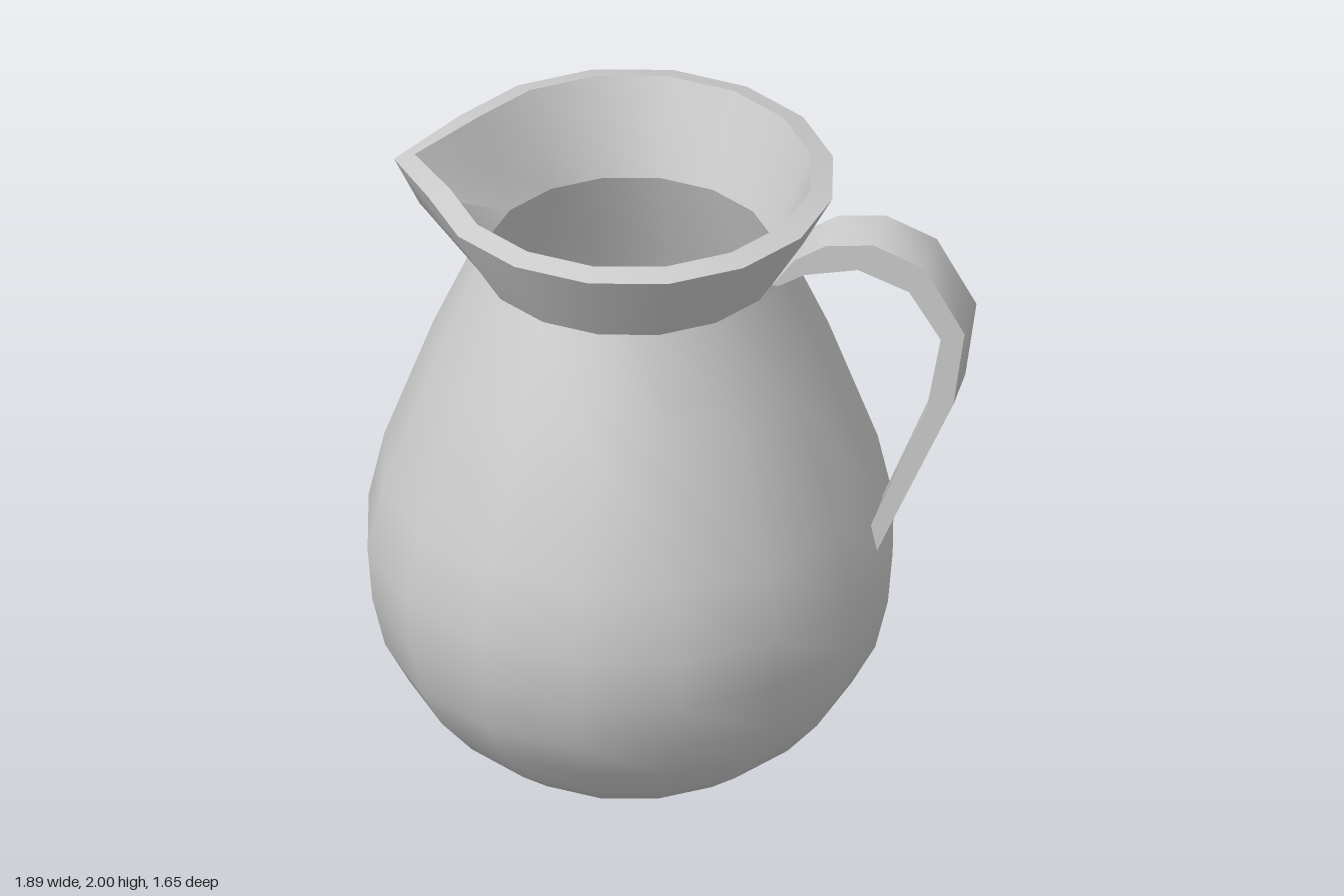
import * as THREE from 'three';
import { toCreasedNormals } from 'three/addons/utils/BufferGeometryUtils.js';

const SIDES = 16;
const AXIS_X = -0.125; // the vessel stands left of centre to leave room for the handle

const material = new THREE.MeshStandardMaterial({ color: 0xcccccc });

function addMesh(group, name, geometry, creaseAngle) {
  const mesh = new THREE.Mesh(toCreasedNormals(geometry, creaseAngle), material);
  mesh.name = name;
  group.add(mesh);
  return mesh;
}

const lathe = (points) =>
  new THREE.LatheGeometry(points.map(([r, y]) => new THREE.Vector2(r, y)), SIDES);

// Collar rows: radius, height, then radius and height at the spout tip
const COLLAR = [
  [0.48, 1.7, 0.48, 1.7],
  [0.54, 1.8, 0.665, 1.8],
  [0.635, 1.98, 0.745, 1.95],
  [0.565, 2.0, 0.68, 1.975],
  [0.495, 1.82, 0.6, 1.82],
  [0.45, 1.7, 0.45, 1.7],
];

function collarGeometry() {
  const geometry = lathe(COLLAR);
  const pos = geometry.attributes.position;
  // Pull the single column facing -x out into a pouring spout
  for (let i = 0; i < pos.count; i++) {
    if (pos.getX(i) < 0 && Math.abs(pos.getZ(i)) < 0.01) {
      const [, , r, y] = COLLAR[i % COLLAR.length];
      pos.setXYZ(i, -r, y, 0);
    }
  }
  return geometry;
}

function handleGeometry() {
  const outline = [
    // outer edge, from collar down to the belly
    [0.34, 1.7], [0.41, 1.8], [0.51, 1.865], [0.66, 1.885], [0.82, 1.82],
    [0.945, 1.6], [0.91, 1.34], [0.67, 0.78],
    // inner edge, back up
    [0.635, 0.83], [0.825, 1.31], [0.87, 1.57], [0.77, 1.73], [0.61, 1.79],
    [0.44, 1.75], [0.36, 1.7],
  ];
  const shape = new THREE.Shape(outline.map(([x, y]) => new THREE.Vector2(x, y)));
  return new THREE.ExtrudeGeometry(shape, { depth: 0.18, bevelEnabled: false })
    .translate(0, 0, -0.09);
}

export function createModel() {
  const jug = new THREE.Group();
  jug.name = 'jug';

  const vessel = new THREE.Group();
  vessel.name = 'vessel';
  vessel.position.x = AXIS_X;
  jug.add(vessel);

  // Pear-shaped outside with a closed base
  addMesh(vessel, 'body', lathe([
    [0, 0], [0.455, 0], [0.585, 0.1], [0.695, 0.23], [0.77, 0.37], [0.81, 0.54],
    [0.825, 0.72], [0.775, 0.95], [0.62, 1.38], [0.48, 1.7],
  ]), 0.9);

  // Hollow inside, running down from the neck to the floor
  addMesh(vessel, 'bodyInside', lathe([
    [0.45, 1.7], [0.57, 1.36], [0.72, 0.94], [0.765, 0.72], [0.75, 0.55],
    [0.71, 0.4], [0.64, 0.27], [0.54, 0.15], [0.43, 0.06], [0, 0.06],
  ]), 0.9);

  // Flared collar with lip and spout
  addMesh(vessel, 'collar', collarGeometry(), 0.9);

  // Flat strap handle
  addMesh(jug, 'handle', handleGeometry(), 1.0);

  return jug;
}
